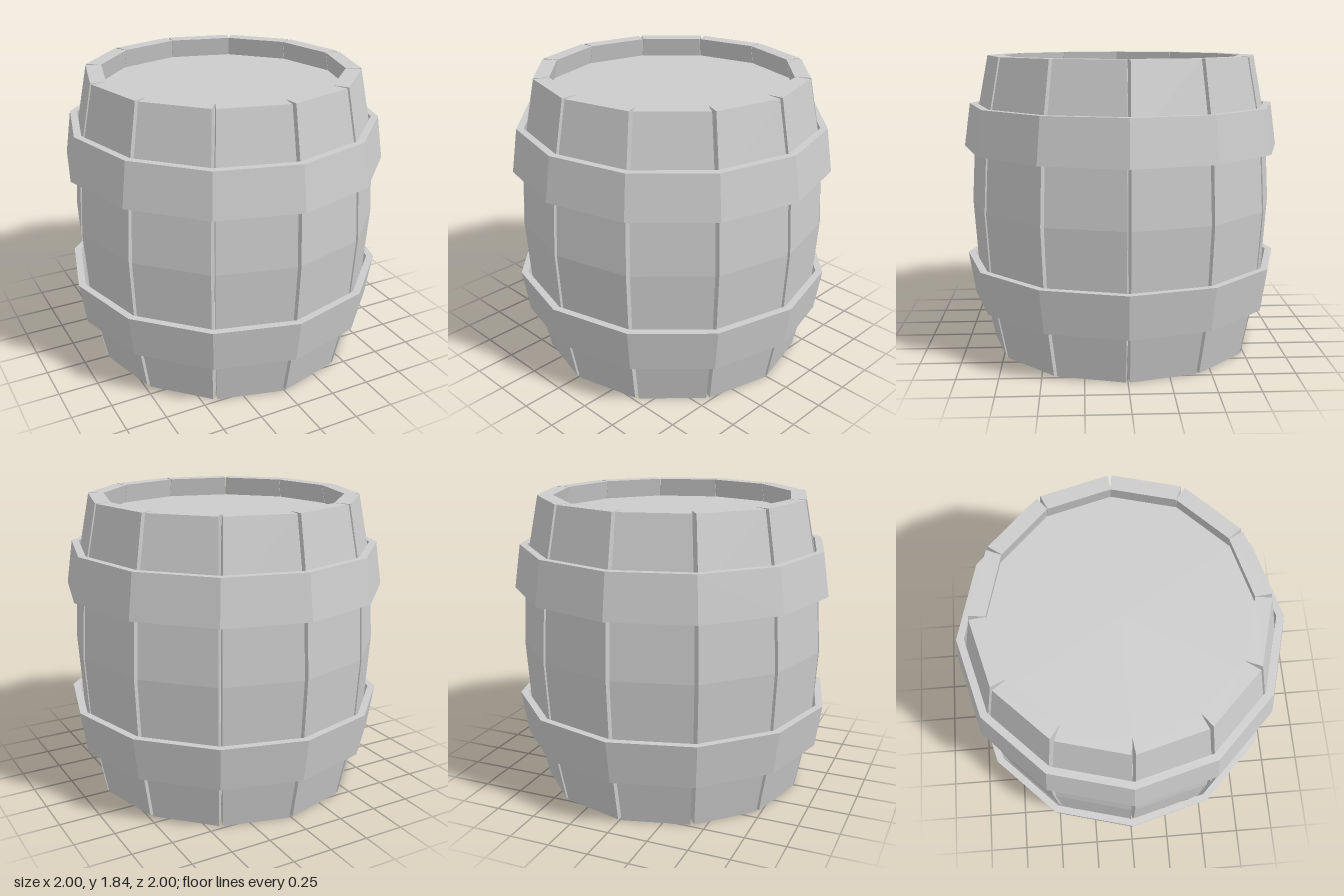
import * as THREE from 'three';

const SIDES = 12;
const STEP = (Math.PI * 2) / SIDES;
const HEIGHT = 1.84;
const GAP = 0.012; // half the gap between two staves on the outside
const THICKNESS = 0.097;

// Stave profile: height and outer corner radius
const PROFILE = [[0, 0.842], [0.45, 0.932], [HEIGHT / 2, 0.96], [HEIGHT - 0.45, 0.932], [HEIGHT, 0.842]];

const material = new THREE.MeshStandardMaterial({ color: 0xcccccc, flatShading: true });

function addMesh(parent, geometry, name) {
  const mesh = new THREE.Mesh(geometry, material);
  mesh.name = name;
  parent.add(mesh);
  return mesh;
}

// One bent plank, lofted through four-cornered sections; its sides meet only on the inside
function staveGeometry() {
  const half = Math.sin(STEP / 2);
  const cos = Math.cos(STEP / 2);
  const positions = [];
  const index = [];
  const quad = (a, b, c, d) => index.push(a, b, c, a, c, d);
  PROFILE.forEach(([y, outer], row) => {
    const inner = outer - THICKNESS;
    const wo = outer * half - GAP;
    const wi = inner * half - 0.001;
    positions.push(-wo, y, outer * cos, wo, y, outer * cos, wi, y, inner * cos, -wi, y, inner * cos);
    if (row === 0) return;
    const a = (row - 1) * 4;
    const b = row * 4;
    for (let k = 0; k < 4; k++) {
      const n = (k + 1) % 4;
      quad(a + k, a + n, b + n, b + k);
    }
  });
  const top = (PROFILE.length - 1) * 4;
  quad(3, 2, 1, 0);
  quad(top, top + 1, top + 2, top + 3);
  const indexed = new THREE.BufferGeometry();
  indexed.setAttribute('position', new THREE.Float32BufferAttribute(positions, 3));
  indexed.setIndex(index);
  const geometry = indexed.toNonIndexed();
  geometry.computeVertexNormals();
  return geometry;
}

// Tapered band, wider toward the middle of the barrel
function hoopGeometry(y0, r0, y1, r1) {
  const t = 0.045;
  const points = [[r0 - t, y0], [r0, y0], [r1, y1], [r1 - t, y1], [r0 - t, y0]]
    .map(([r, y]) => new THREE.Vector2(r, y));
  const geometry = new THREE.LatheGeometry(points, SIDES).toNonIndexed();
  geometry.computeVertexNormals();
  return geometry;
}

export function createModel() {
  const barrel = new THREE.Group();
  barrel.name = 'barrel';

  // Ring of staves
  const staves = new THREE.Group();
  staves.name = 'staves';
  barrel.add(staves);
  const plank = staveGeometry();
  for (let i = 0; i < SIDES; i++) {
    addMesh(staves, plank, 'stave').rotation.y = (i + 0.5) * STEP;
  }

  // Hoops
  addMesh(barrel, hoopGeometry(0.30, 0.96, 0.57, 1), 'lowerHoop');
  addMesh(barrel, hoopGeometry(HEIGHT - 0.57, 1, HEIGHT - 0.30, 0.96), 'upperHoop');

  // Recessed lid and bottom
  const disc = new THREE.CylinderGeometry(0.775, 0.775, 0.05, SIDES);
  addMesh(barrel, disc, 'lid').position.y = HEIGHT - 0.145;
  addMesh(barrel, disc, 'bottom').position.y = 0.145;

  return barrel;
}
